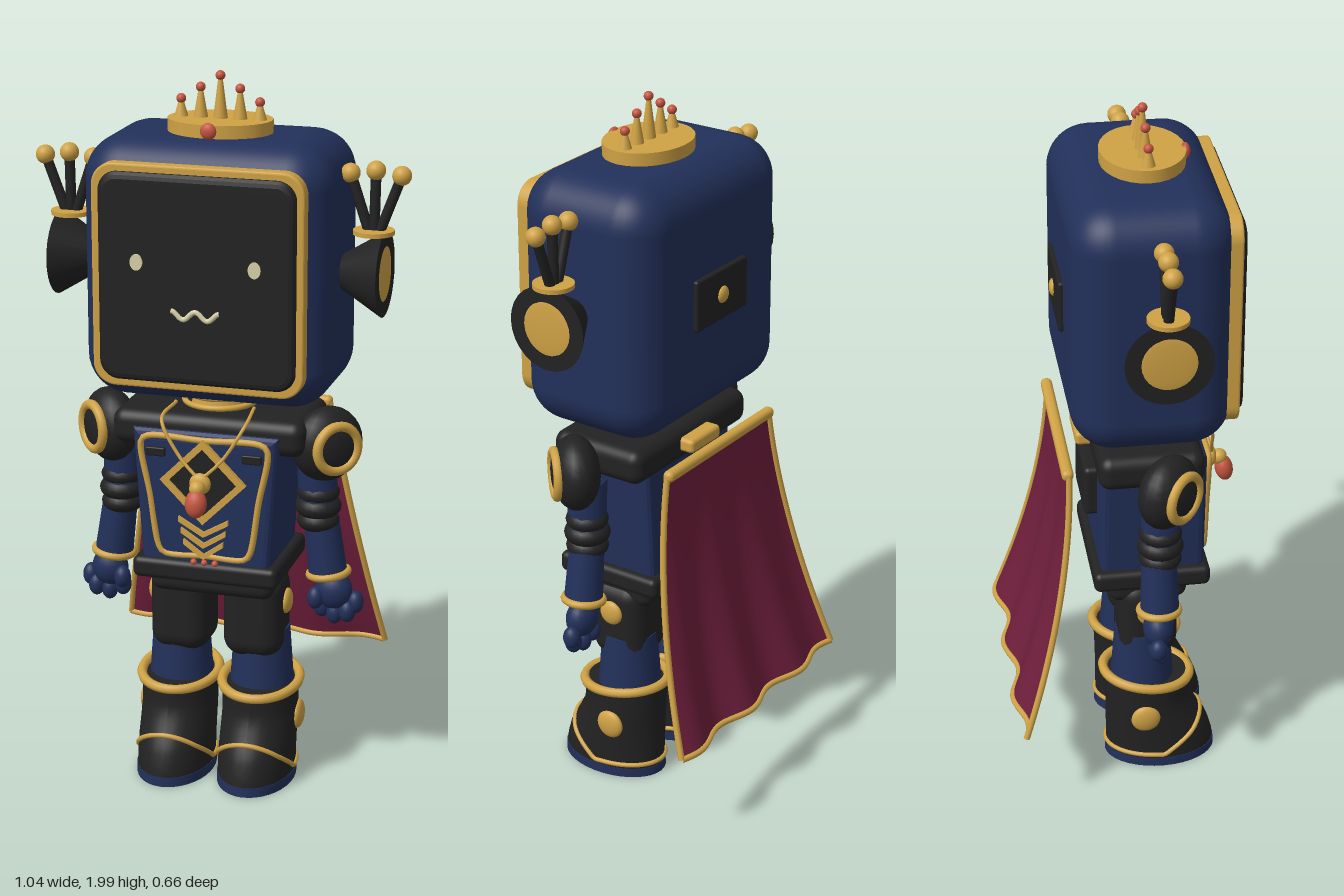
import * as THREE from 'three';
import { RoundedBoxGeometry } from 'three/addons/geometries/RoundedBoxGeometry.js';

const mat = (name, color, side = THREE.FrontSide) => {
  const m = new THREE.MeshStandardMaterial({ color, side });
  m.name = name;
  return m;
};
const V = (x, y, z) => new THREE.Vector3(x, y, z);

export function createModel() {
  const navy = mat('navy', 0x22305a), black = mat('black', 0x222222), gold = mat('gold', 0xcfa245);
  const coral = mat('coral', 0xc4553f), cream = mat('cream', 0xd8d0a8);
  const crimson = mat('crimson', 0x701f3c, THREE.DoubleSide);
  const root = new THREE.Group();
  root.name = 'robot';

  const group = (name, parent = root) => {
    const g = new THREE.Group();
    g.name = name;
    parent.add(g);
    return g;
  };
  const add = (parent, name, geo, material, p = [0, 0, 0], r = [0, 0, 0], s = [1, 1, 1]) => {
    const m = new THREE.Mesh(geo, material);
    m.name = name;
    m.position.set(...p);
    m.rotation.set(...r);
    m.scale.set(...s);
    parent.add(m);
    return m;
  };
  const ball = (r) => new THREE.SphereGeometry(r, 20, 14);
  const cyl = (a, b, h) => new THREE.CylinderGeometry(a, b, h, 28);
  const rbox = (x, y, z, r) => new RoundedBoxGeometry(x, y, z, 5, r);
  const ring = (R, r) => new THREE.TorusGeometry(R, r, 10, 36);
  const smooth = (pts, r, closed = false, n = 48) =>
    new THREE.TubeGeometry(new THREE.CatmullRomCurve3(pts, closed), n, r, 8, closed);
  const rod = (a, b, r) => new THREE.TubeGeometry(new THREE.LineCurve3(a, b), 1, r, 10);
  const roundRect = (w, h, r, T = THREE.Shape) => {
    const s = new T(), x = w / 2, y = h / 2;
    s.moveTo(-x + r, -y).lineTo(x - r, -y).absarc(x - r, -y + r, r, -Math.PI / 2, 0);
    s.lineTo(x, y - r).absarc(x - r, y - r, r, 0, Math.PI / 2);
    s.lineTo(-x + r, y).absarc(-x + r, y - r, r, Math.PI / 2, Math.PI);
    s.lineTo(-x, -y + r).absarc(-x + r, -y + r, r, Math.PI, Math.PI * 1.5);
    return s;
  };
  const extrude = (s, depth, bevel = 0) => new THREE.ExtrudeGeometry(s, {
    depth, bevelEnabled: bevel > 0, bevelSize: bevel, bevelThickness: bevel, bevelSegments: 3, curveSegments: 8 });
  const polygon = (pts) => new THREE.Shape(pts.map(([x, y]) => new THREE.Vector2(x, y)));

  // Head, framed screen and face
  const head = group('head');
  add(head, 'headShell', rbox(0.68, 0.71, 0.43, 0.115), navy, [0, 1.475, 0.055]);
  const frame = roundRect(0.565, 0.59, 0.055);
  frame.holes.push(roundRect(0.53, 0.555, 0.045, THREE.Path));
  add(head, 'screenFrame', extrude(frame, 0.04, 0.006), gold, [0, 1.475, 0.24]);
  add(head, 'screen', extrude(roundRect(0.5, 0.525, 0.035), 0.04, 0.02), black, [0, 1.475, 0.24]);
  for (const s of [-1, 1])
    add(head, 'eye', cyl(0.02, 0.02, 0.006), cream, [s * 0.16, 1.52, 0.302], [Math.PI / 2, 0, 0], [0.85, 1, 1.1]);
  const mouth = [];
  for (let i = 0; i <= 24; i++) mouth.push(V(-0.066 + i * 0.0055, 1.385 - 0.011 * Math.cos(i * Math.PI / 6 + Math.PI), 0.301));
  add(head, 'mouth', smooth(mouth, 0.007), cream);
  add(head, 'backPanel', rbox(0.24, 0.145, 0.03, 0.008), black, [0, 1.475, -0.158]);
  add(head, 'backStud', ball(0.024), gold, [0, 1.475, -0.172], [0, 0, 0], [1, 1, 0.5]);

  // Crown
  const crown = group('crown');
  add(crown, 'crownBase', cyl(0.142, 0.142, 0.035), gold, [0, 1.848, 0.065], [0, 0, 0], [1, 1, 0.8]);
  for (let i = -2; i <= 2; i++) {
    const tip = 1.978 - Math.abs(i) * 0.033;
    add(crown, 'crownSpike', cyl(0.005, 0.02, tip - 1.86), gold, [i * 0.054, (tip + 1.86) / 2, 0.065]);
    add(crown, 'crownBead', ball(0.013), coral, [i * 0.054, tip, 0.065]);
  }
  add(crown, 'crownGem', ball(0.022), coral, [0, 1.85, 0.178], [0, 0, 0], [1, 1, 0.6]);

  // Neck
  add(root, 'neck', cyl(0.07, 0.085, 0.1), gold, [0, 1.09, 0.065]);
  for (const [y, R] of [[1.092, 0.098], [1.115, 0.085]])
    add(root, 'neckRing', ring(R, 0.008), gold, [0, y, 0.065], [Math.PI / 2, 0, 0]);

  // Torso with trapezoid chest plate
  const torso = group('torso');
  const trapezoid = (top, bottom, y1, y0) => polygon([[-bottom, y0], [bottom, y0], [top, y1], [-top, y1]]);
  add(torso, 'torsoShell', extrude(trapezoid(0.185, 0.16, 1.02, 0.65), 0.25, 0.02), navy, [0, 0, -0.05]);
  add(torso, 'shoulderBar', rbox(0.54, 0.1, 0.29, 0.035), black, [0, 1.03, 0.06]);
  add(torso, 'chestPlate', extrude(trapezoid(0.17, 0.12, 1.01, 0.695), 0.02), navy, [0, 0, 0.208]);
  const trim = [];
  const corners = [[0.18, 1.02], [0.125, 0.69], [-0.125, 0.69], [-0.18, 1.02]];
  corners.forEach(([x, y], i) => {
    const [nx, ny] = corners[(i + 1) % 4];
    for (const t of [0.05, 0.5, 0.95]) trim.push(V(x + (nx - x) * t, y + (ny - y) * t, 0.226));
  });
  add(torso, 'chestTrim', smooth(trim, 0.009, true, 80), gold);
  const diamond = (r) => [[0, -r], [r, 0], [0, r], [-r, 0]];
  add(torso, 'diamondInset', extrude(polygon(diamond(0.1)), 0.008), black, [0, 0.905, 0.227]);
  const diamondFrame = polygon(diamond(0.12));
  diamondFrame.holes.push(polygon(diamond(0.095)));
  add(torso, 'diamondFrame', extrude(diamondFrame, 0.016), gold, [0, 0.905, 0.227]);
  const chevron = polygon([[0, -0.018], [0.07, 0.022], [0.07, 0.037], [0, -0.003], [-0.07, 0.037], [-0.07, 0.022]]);
  for (let i = 0; i < 3; i++)
    add(torso, 'chevron', extrude(chevron, 0.012), gold, [0, 0.765 - i * 0.032, 0.226], [0, 0, 0], [1 - i * 0.1, 1, 1]);
  for (const s of [-1, 1])
    add(torso, 'chestVent', rbox(0.055, 0.025, 0.015, 0.004), black, [s * 0.135, 0.98, 0.23]);
  add(torso, 'belt', rbox(0.41, 0.06, 0.325, 0.018), black, [0, 0.64, 0.072]);
  add(torso, 'pelvis', rbox(0.35, 0.08, 0.22, 0.03), black, [0, 0.59, 0.065]);
  for (let i = -1; i <= 1; i++) add(torso, 'beltBead', ball(0.009), coral, [i * 0.03, 0.67, 0.226]);
  add(torso, 'backPack', rbox(0.2, 0.15, 0.06, 0.015), black, [0, 0.88, -0.076]);
  add(torso, 'capeClasp', rbox(0.14, 0.04, 0.07, 0.012), gold, [0, 1.035, -0.09]);

  // Necklace with hanging gems
  const necklace = group('necklace');
  for (const s of [-1, 1])
    add(necklace, 'necklaceStrand', smooth([V(s * 0.11, 1.09, 0.12), V(s * 0.115, 1.07, 0.235), V(s * 0.06, 0.98, 0.255), V(0, 0.92, 0.265)], 0.005), gold);
  add(necklace, 'pendantMount', ball(0.03), gold, [0, 0.91, 0.262], [0, 0, 0], [1, 1, 0.6]);
  add(necklace, 'pendantBead', ball(0.018), coral, [0, 0.9, 0.25]);
  add(necklace, 'pendantCap', ball(0.022), gold, [0, 0.905, 0.288]);
  add(necklace, 'pendantGem', ball(0.03), coral, [0, 0.867, 0.302], [-0.2, 0, 0], [1, 1.3, 0.85]);

  // Boot outline: centre z and half length by height, rounded across
  const levels = [[0, 0.107, 0.158], [0.04, 0.107, 0.156], [0.1, 0.098, 0.148], [0.15, 0.083, 0.133], [0.2, 0.07, 0.121], [0.29, 0.067, 0.122]];
  const bootPoint = (a, y, grow = 0) => {
    let i = 0;
    while (i < levels.length - 2 && y > levels[i + 1][0]) i++;
    const [y0, c0, l0] = levels[i], [y1, c1, l1] = levels[i + 1], t = (y - y0) / (y1 - y0);
    return V(Math.sin(a) * (0.106 + grow), y, c0 + (c1 - c0) * t + Math.cos(a) * (l0 + (l1 - l0) * t + grow));
  };
  const bootGeometry = (y0, y1, rows, grow = 0) => {
    const g = new THREE.CylinderGeometry(1, 1, 1, 36, rows), p = g.attributes.position;
    for (let i = 0; i < p.count; i++) {
      const x = p.getX(i), z = p.getZ(i), rim = Math.min(1, Math.hypot(x, z));
      const y = y0 + (p.getY(i) + 0.5) * (y1 - y0), q = bootPoint(Math.atan2(x, z), y, grow);
      if (rim < 0.5) q.set(0, y, 0.07);
      p.setXYZ(i, q.x, q.y, q.z);
    }
    g.computeVertexNormals();
    return g;
  };
  const loop = (f) => Array.from({ length: 40 }, (_, i) => f(i / 40 * Math.PI * 2));
  const rimLine = loop((a) => bootPoint(a, 0.28 - 0.014 * Math.cos(a), 0.002));
  const toeLine = loop((a) => bootPoint(a, 0.04 + 0.098 * Math.max(0, Math.cos(a)), 0.001));

  // Mirrored parts: ears, arms and legs
  for (const s of [1, -1]) {
    const side = s > 0 ? 'left' : 'right';
    const ear = group(side + 'Ear');
    add(ear, 'earCone', cyl(0.116, 0.04, 0.125), black, [s * 0.39, 1.475, 0.07], [0, 0, -s * Math.PI / 2]);
    add(ear, 'earDisc', ball(0.08), gold, [s * 0.45, 1.475, 0.07], [0, 0, 0], [0.08, 1, 1]);
    add(ear, 'antennaPlate', cyl(0.055, 0.055, 0.012), gold, [s * 0.42, 1.587, 0.07]);
    for (const [x, y] of [[0.355, 1.74], [0.423, 1.75], [0.492, 1.74]]) {
      const tip = V(s * x, y, 0.068);
      add(ear, 'antennaStalk', rod(V(s * (0.42 + (x - 0.42) * 0.2), 1.585, 0.068), tip, 0.014), black);
      add(ear, 'antennaBall', ball(0.026), gold, tip.toArray());
    }

    const arm = group(side + 'Arm');
    const shoulder = group('shoulder', arm);
    shoulder.position.set(s * 0.308, 1, 0.095);
    shoulder.rotation.y = s * Math.PI / 4;
    add(shoulder, 'shoulderPad', ball(0.104), black, [0, 0, 0], [0, 0, 0], [1, 1, 0.65]);
    add(shoulder, 'shoulderRing', ring(0.062, 0.014), gold, [0, 0, 0.054]);
    add(arm, 'upperArm', rod(V(s * 0.275, 0.97, 0.08), V(s * 0.282, 0.8, 0.078), 0.054), navy);
    for (const [y, r] of [[0.855, 0.059], [0.815, 0.064], [0.775, 0.059]])
      add(arm, 'elbowBand', ball(r), black, [s * 0.281, y, 0.078], [0, 0, 0], [1, 0.6, 1]);
    add(arm, 'forearm', cyl(0.048, 0.054, 0.17), navy, [s * 0.3, 0.695, 0.074], [0, 0, s * 0.13]);
    add(arm, 'wristCuff', ring(0.053, 0.011), gold, [s * 0.311, 0.62, 0.072], [Math.PI / 2, s * 0.13, 0]);
    add(arm, 'palm', ball(0.052), navy, [s * 0.325, 0.568, 0.068], [0, 0, 0], [1, 1.05, 0.8]);
    for (const [x, y, z] of [[0.29, 0.515, 0.06], [0.328, 0.5, 0.065], [0.365, 0.51, 0.07], [0.385, 0.535, 0.06], [0.28, 0.55, 0.095]])
      add(arm, 'finger', ball(0.026), navy, [s * x, y, z], [0, 0, 0], [0.9, 1.25, 0.95]);

    const leg = group(side + 'Leg');
    leg.position.x = s * 0.118;
    add(leg, 'thigh', rbox(0.17, 0.25, 0.17, 0.055), black, [-s * 0.013, 0.485, 0.066]);
    add(leg, 'thighDisc', ball(0.036), gold, [s * 0.073, 0.52, 0.066], [0, 0, 0], [0.45, 1, 1]);
    add(leg, 'shin', cyl(0.078, 0.092, 0.2), navy, [0, 0.34, 0.055]);
    add(leg, 'boot', bootGeometry(0.025, 0.275, 12), black);
    add(leg, 'sole', bootGeometry(0, 0.027, 1, 0.002), navy);
    add(leg, 'bootRim', smooth(rimLine, 0.014, true, 72), gold);
    add(leg, 'toeTrim', smooth(toeLine, 0.007, true, 90), gold);
    add(leg, 'bootDisc', ball(0.042), gold, [s * 0.105, 0.175, 0.052], [0, 0, 0], [0.4, 1, 1]);
  }

  // Cape: widening sheet with folds growing toward the hem
  const cape = group('cape');
  const capePoint = (u, t) => {
    const x = (u * 2 - 1) * (0.25 + 0.14 * t);
    const fold = Math.cos((x / (0.25 + 0.14 * t) * 0.39 - 0.06) / 0.26 * Math.PI * 2);
    return V(x, 1.035 - 0.76 * t, -0.165 - 0.145 * Math.pow(t, 1.8) - 0.015 * t * fold);
  };
  const sheet = new THREE.PlaneGeometry(1, 1, 48, 20), p = sheet.attributes.position;
  for (let i = 0; i < p.count; i++) {
    const q = capePoint(p.getX(i) + 0.5, 0.5 - p.getY(i));
    p.setXYZ(i, q.x, q.y, q.z);
  }
  sheet.computeVertexNormals();
  add(cape, 'capeCloth', sheet, crimson);
  const edge = (f) => Array.from({ length: 33 }, (_, i) => f(i / 32));
  add(cape, 'capeHem', smooth(edge((k) => capePoint(k, 1)), 0.009), gold);
  for (const u of [0, 1]) add(cape, 'capeSideTrim', smooth(edge((k) => capePoint(u, k)), 0.009), gold);
  add(cape, 'capeCollar', rbox(0.515, 0.032, 0.032, 0.014), gold, [0, 1.035, -0.168]);
  return root;
}
